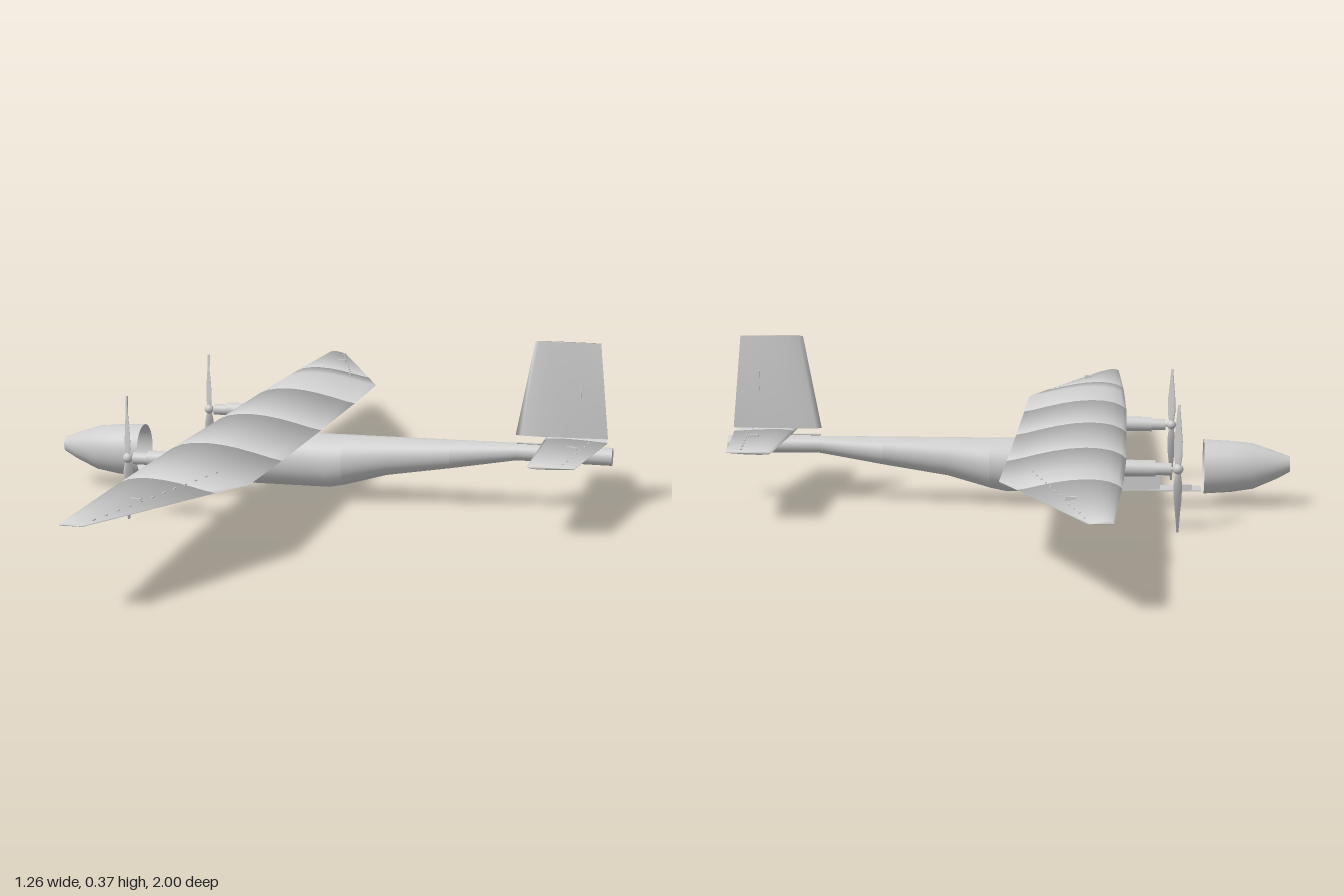
import * as THREE from 'three';

const grey = new THREE.MeshStandardMaterial({ color: 0xcccccc });
grey.name = 'light grey';
const greyShell = new THREE.MeshStandardMaterial({ color: 0xcccccc, side: THREE.DoubleSide });
greyShell.name = 'light grey shell';

function add(parent, name, geometry, x = 0, y = 0, z = 0, material = grey) {
  const mesh = new THREE.Mesh(geometry, material);
  mesh.name = name;
  mesh.position.set(x, y, z);
  parent.add(mesh);
  return mesh;
}

// Skin a list of closed rings of [x, y, z] points; capped lofts always face outward.
function loft(rings, capped = true) {
  const n = rings[0].length, last = (rings.length - 1) * n;
  const p = rings.flat(), idx = [];
  for (let r = 0; r < rings.length - 1; r++) {
    for (let i = 0; i < n; i++) {
      const a = r * n + i, b = r * n + (i + 1) % n;
      idx.push(a, b, a + n, b, b + n, a + n);
    }
  }
  if (capped) {
    for (let i = 1; i < n - 1; i++) idx.push(0, i + 1, i, last, last + i, last + i + 1);
  }
  let volume = 0;
  const [a, b, c] = [0, 1, 2].map(() => new THREE.Vector3());
  for (let i = 0; i < idx.length; i += 3) {
    a.fromArray(p[idx[i]]);
    b.fromArray(p[idx[i + 1]]);
    c.fromArray(p[idx[i + 2]]);
    volume += a.dot(b.cross(c));
  }
  if (volume < 0) idx.reverse();
  const g = new THREE.BufferGeometry();
  g.setAttribute('position', new THREE.Float32BufferAttribute(p.flat(), 3));
  g.setIndex(idx);
  g.computeVertexNormals();
  return g;
}

// Round the normals of a panel toward its two spanwise ends.
function softenEnds(g, n) {
  const normal = g.attributes.normal, pos = g.attributes.position, v = new THREE.Vector3();
  const total = pos.count, dir = Math.sign(pos.getZ(total - 1) - pos.getZ(0));
  for (let i = 0; i < n; i++) {
    for (const [k, s] of [[i, -dir], [total - n + i, dir]]) {
      v.fromBufferAttribute(normal, k);
      v.z += s * 0.9;
      v.normalize();
      normal.setXYZ(k, v.x, v.y, v.z);
    }
  }
  return g;
}

// Oval fuselage ring from bottom, top and half width.
function oval([x, bottom, top, half]) {
  return Array.from({ length: 32 }, (_, i) => {
    const t = (i / 32) * Math.PI * 2;
    return [x, (top + bottom) / 2 + Math.sin(t) * (top - bottom) / 2, Math.cos(t) * half];
  });
}

// Flat-bottomed wing profile as [chord, height] fractions.
const profile = [[0, 0.28], [0.04, 0.55], [0.12, 0.82], [0.22, 0.96], [0.34, 1], [0.48, 0.92],
  [0.62, 0.74], [0.78, 0.45], [0.9, 0.2], [1, 0.04], [0.98, 0], [0.6, 0.03], [0.3, 0], [0.1, 0], [0.03, 0.1]];
const foil = ([z, lead, trail, base, thick], side) =>
  profile.map(([c, h]) => [lead + (trail - lead) * c, base + thick * h, z * side]);

// Symmetric tail profile as [chord, half thickness] fractions.
const lens = [[0, 0], [0.06, 0.65], [0.25, 1], [0.6, 0.75], [1, 0.12], [1, -0.12], [0.6, -0.75], [0.25, -1], [0.06, -0.65]];

export function createModel() {
  const model = new THREE.Group();
  model.name = 'twinPropellerAircraft';

  // Fuselage with open front, flat tail end and crisp section joints
  const body = [[-0.2, 0.03, 0.15, 0.055], [0, 0.03, 0.15, 0.055], [0.035, 0.037, 0.15, 0.053], [0.035, 0.037, 0.15, 0.053],
    [0.13, 0.064, 0.15, 0.042], [0.275, 0.087, 0.15, 0.033], [0.275, 0.087, 0.15, 0.033], [0.42, 0.112, 0.15, 0.021],
    [0.627, 0.11, 0.149, 0.019], [0.627, 0.11, 0.149, 0.019], [0.627, 0.13, 0.13, 0]];
  add(model, 'fuselage', loft(body.map(oval), false), 0, 0, 0, greyShell);

  // Detached hollow nose
  const nose = [[-0.44, 0.03, 0.151, 0.056], [-0.5, 0.034, 0.148, 0.054], [-0.55, 0.042, 0.143, 0.047], [-0.6, 0.064, 0.126, 0.031],
    [-0.63, 0.08, 0.115, 0.018], [-0.63, 0.08, 0.115, 0.018], [-0.63, 0.097, 0.097, 0]];
  add(model, 'noseCone', loft(nose.map(oval), false), 0, 0, 0, greyShell);

  // Equipment tray between nose and fuselage
  add(model, 'tray', new THREE.BoxGeometry(0.25, 0.003, 0.058), -0.31, 0.04, 0);
  add(model, 'battery', new THREE.BoxGeometry(0.15, 0.045, 0.054), -0.268, 0.063, 0);
  add(model, 'receiver', new THREE.BoxGeometry(0.024, 0.011, 0.016), -0.402, 0.047, 0.018 * -1);

  // Wing panels, mirrored
  const root = [0, -0.268, -0.022, 0.156, 0.031], inner = [0.335, -0.268, -0.022, 0.157, 0.031];
  const kink = [0.575, -0.263, -0.022, 0.16, 0.028], outer = [0.67, -0.26, -0.062, 0.163, 0.023];
  const tip = [1, -0.247, -0.202, 0.171, 0.006];
  const panels = { innerWing: [root, inner], middleWing: [inner, kink, outer], outerWing: [outer, tip] };
  for (const side of [-1, 1]) {
    const label = side > 0 ? 'Left' : 'Right';
    for (const [name, sections] of Object.entries(panels)) {
      add(model, name + label, softenEnds(loft(sections.map(s => foil(s, side))), profile.length));
    }

    // Aileron hinges and control horn
    for (let i = 0; i < 12; i++) {
      const t = i / 11;
      add(model, 'aileronHinge' + label, new THREE.BoxGeometry(0.003, 0.002, 0.012),
        -0.088 - 0.108 * t, 0.183 - 0.008 * t, side * (0.58 + 0.38 * t));
    }
    add(model, 'aileronHorn' + label, new THREE.BoxGeometry(0.02, 0.008, 0.006), -0.168, 0.179, side * 0.82);
    add(model, 'aileronServo' + label, new THREE.BoxGeometry(0.024, 0.007, 0.014), -0.17, 0.165, side * 0.82);

    // Engine pod, motor and two-bladed propeller
    const engine = new THREE.Group();
    engine.name = 'engine' + label;
    engine.position.z = side * 0.29;
    model.add(engine);
    const pod = [[-0.328, 0.138, 0.138, 0], [-0.328, 0.121, 0.155, 0.018], [-0.328, 0.121, 0.155, 0.018],
      [-0.14, 0.121, 0.157, 0.018], [-0.08, 0.133, 0.16, 0.013], [-0.06, 0.145, 0.16, 0.004]];
    add(engine, 'nacelle', loft(pod.map(oval)));
    add(engine, 'motor', new THREE.CylinderGeometry(0.013, 0.013, 0.036, 24).rotateZ(Math.PI / 2), -0.343, 0.137);
    add(engine, 'shaft', new THREE.CylinderGeometry(0.004, 0.004, 0.03, 12).rotateZ(Math.PI / 2), -0.367, 0.137);
    add(engine, 'spinner', new THREE.SphereGeometry(0.011, 20, 14), -0.375, 0.137);
    const stations = [[0.005, 0.006, 1.1], [0.03, 0.011, 0.9], [0.06, 0.013, 0.7], [0.095, 0.01, 0.5], [0.122, 0.006, 0.4], [0.134, 0.002, 0.35]];
    for (const turn of [0, Math.PI]) {
      const rings = stations.map(([y, half, twist]) => lens.map(([c, h]) => {
        const u = (c * 2 - 1) * half, w = h * 0.0025;
        return [u * Math.sin(twist) + w * Math.cos(twist), y, u * Math.cos(twist) - w * Math.sin(twist)];
      }));
      add(engine, 'propellerBlade', loft(rings), -0.375, 0.137).rotation.x = turn;
    }

    // Tailplane half with elevator hinges and horn
    const halves = [[0, 0.478, 0.615, 0.006], [0.278, 0.478, 0.575, 0.004]];
    const tail = halves.map(([z, lead, trail, th]) =>
      lens.map(([c, h]) => [lead + (trail - lead) * c, 0.159 + h * th, z * side]));
    add(model, 'tailplane' + label, softenEnds(loft(tail), lens.length));
    for (let i = 0; i < 7; i++) {
      add(model, 'elevatorHinge' + label, new THREE.BoxGeometry(0.003, 0.002, 0.012),
        0.578 - i * 0.005, 0.1625, side * (0.03 + i * 0.037));
    }
    add(model, 'elevatorHorn' + label, new THREE.BoxGeometry(0.022, 0.008, 0.006), 0.55, 0.165, side * 0.105);
  }

  // Tail mount, fin and rudder horn
  add(model, 'tailMount', new THREE.BoxGeometry(0.11, 0.012, 0.022), 0.545, 0.151, 0);
  const fin = [[0.168, 0.416, 0.616], [0.376, 0.455, 0.596]].map(([y, lead, trail]) =>
    lens.map(([c, h]) => [lead + (trail - lead) * c, y, h * 0.008]));
  add(model, 'fin', loft(fin));
  add(model, 'rudderHorn', new THREE.BoxGeometry(0.004, 0.045, 0.016), 0.556, 0.275, 0);
  add(model, 'tailPushrod', new THREE.CylinderGeometry(0.002, 0.002, 0.16, 8).rotateZ(Math.PI / 2), 0.5, 0.152, 0.008);

  return model;
}
